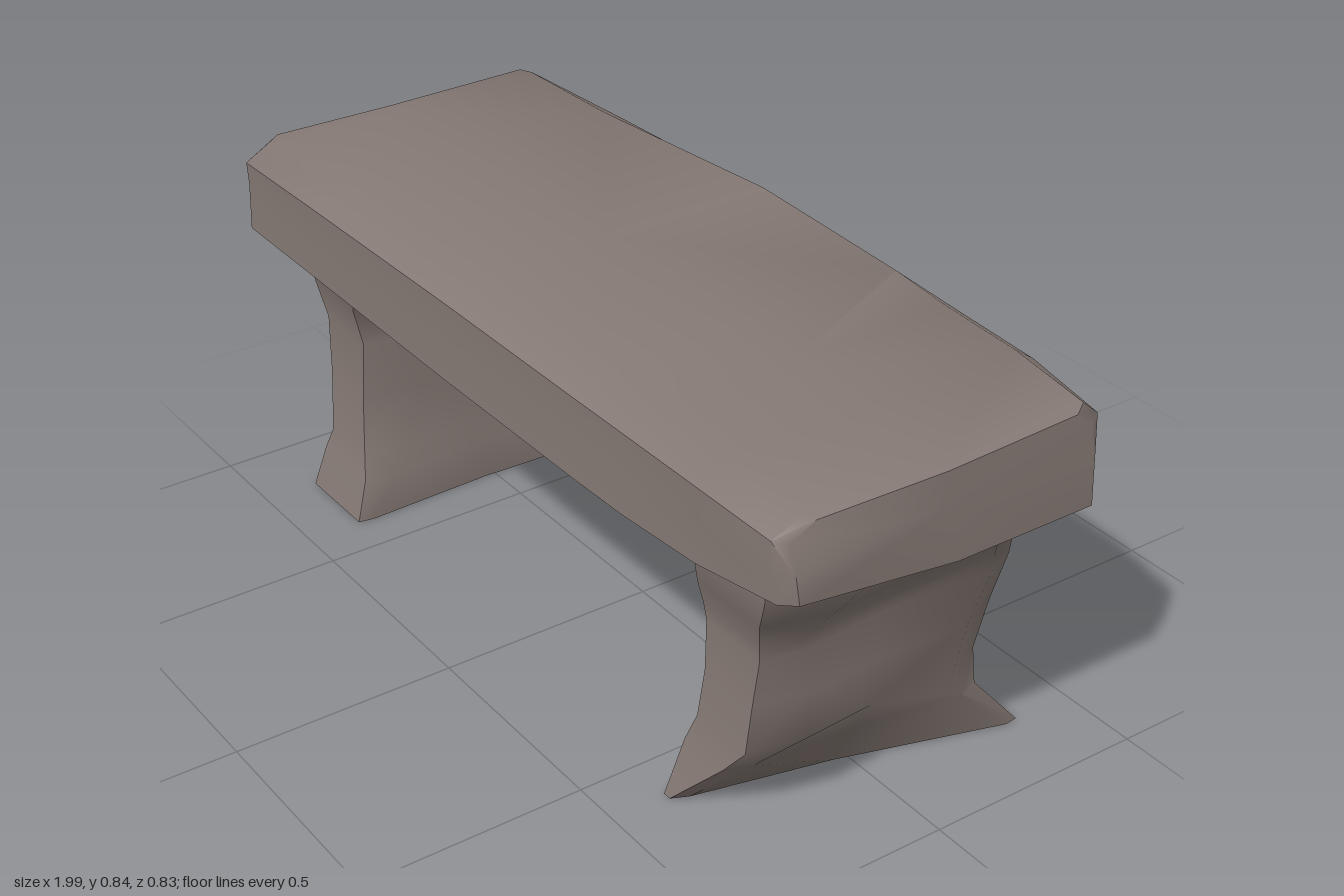
import * as THREE from 'three';
import { toCreasedNormals } from 'three/addons/utils/BufferGeometryUtils.js';

// Skin a closed solid over a list of equal-length rings of [x, y, z] points
function loft(rings, crease) {
  const n = rings[0].length, pos = rings.flat(2), idx = [];
  for (let k = 0; k < rings.length - 1; k++) {
    for (let i = 0; i < n; i++) {
      const j = (i + 1) % n;
      const a = k * n + i, b = k * n + j, c = a + n, d = b + n;
      // alternate the diagonal so the stone looks roughly hewn
      if ((i + k) % 2) idx.push(a, b, d, a, d, c);
      else idx.push(a, b, c, b, d, c);
    }
  }
  // end caps fan out from the middle of each end ring
  [0, rings.length - 1].forEach((k) => {
    const mid = [0, 1, 2].map((c) => rings[k].reduce((s, p) => s + p[c], 0) / n);
    const m = pos.length / 3;
    pos.push(...mid);
    for (let i = 0; i < n; i++) {
      const p = k * n + i, q = k * n + ((i + 1) % n);
      if (k) idx.push(m, p, q); else idx.push(m, q, p);
    }
  });
  const g = new THREE.BufferGeometry();
  g.setAttribute('position', new THREE.Float32BufferAttribute(pos, 3));
  g.setIndex(idx);
  return toCreasedNormals(g, crease);
}

// Slab cross-section at one x: worn top edges, chipped lower edges
function slabRing([x, back, front, top, bevelB, bevelF, dip, lean, chipB, chipF]) {
  const bottom = 0.621;
  return [
    [x - lean, top - 0.035, back],
    [x - lean, top, back + bevelB],
    [x - lean, top - dip, 0.02],
    [x - lean, top - dip * 0.4, front - bevelF],
    [x - lean, top - 0.035, front],
    [x, 0.73, front - 0.003],
    [x, bottom + chipF, front - chipF * 0.3],
    [x, bottom, 0],
    [x, bottom + chipB, back + chipB * 0.3],
    [x, 0.73, back + 0.005],
  ];
}

// Leg cross-section at one height: a block with uneven cut corners;
// skew draws the front outer corner in towards the inside
function legRing([y, x0, x1, back, front, cut, skew = 0]) {
  const w = (x1 - x0) * cut, d = (front - back) * cut;
  const pull = (z) => (skew * (z - back)) / (front - back);
  return [
    [x0 + w, y, front],
    [x1 - w * 0.6 - pull(front), y, front],
    [x1 - pull(front - d), y, front - d],
    [x1 - 0.012 - pull(0.03), y, 0.03],
    [x1 - pull(back + d * 0.8), y, back + d * 0.8],
    [x1 - w, y, back],
    [x0 + w * 0.7, y, back],
    [x0, y, back + d],
    [x0 + 0.012, y, -0.04],
    [x0, y, front - d * 0.9],
  ];
}

export function createModel() {
  const stone = new THREE.MeshStandardMaterial({ color: 0x857974 });
  stone.name = 'weathered stone';
  const bench = new THREE.Group();
  bench.name = 'stoneBench';

  function add(name, rings, crease) {
    const mesh = new THREE.Mesh(loft(rings, crease), stone);
    mesh.name = name;
    bench.add(mesh);
  }

  // seat: x, back, front, top, back bevel, front bevel, dip, lean, back chip, front chip
  add('seatSlab', [
    [-0.995, -0.39, 0.36, 0.815, 0.05, 0.05, 0.004, 0, 0.09, 0],
    [-0.96, -0.4, 0.41, 0.818, 0.05, 0.06, 0.003, 0, 0.08, 0],
    [-0.65, -0.408, 0.412, 0.826, 0.06, 0.08, 0, 0, 0.01, 0],
    [-0.1, -0.418, 0.416, 0.837, 0.03, 0.07, 0, 0, 0, 0],
    [0.36, -0.412, 0.414, 0.836, 0.04, 0.08, 0.004, 0, 0, 0],
    [0.52, -0.408, 0.411, 0.834, 0.05, 0.11, 0.012, 0, 0, 0],
    [0.74, -0.4, 0.408, 0.832, 0.05, 0.1, 0.016, 0, 0, 0.01],
    [0.965, -0.36, 0.405, 0.83, 0.04, 0.07, 0.015, 0.005, 0, 0.04],
    [0.998, -0.33, 0.38, 0.822, 0.04, 0.06, 0.012, 0.02, 0, 0.045],
  ].map(slabRing), 0.75);

  // legs: y, x0, x1, back, front, corner cut, skew
  add('rightLeg', [
    [0, -0.825, -0.6, -0.362, 0.372, 0.05],
    [0.1, -0.82, -0.6, -0.29, 0.345, 0.1],
    [0.15, -0.822, -0.615, -0.25, 0.33, 0.18],
    [0.3, -0.832, -0.62, -0.27, 0.32, 0.2],
    [0.43, -0.842, -0.628, -0.31, 0.31, 0.16],
    [0.52, -0.85, -0.632, -0.32, 0.33, 0.14],
    [0.55, -0.855, -0.6, -0.325, 0.34, 0.18],
    [0.61, -0.96, -0.59, -0.345, 0.365, 0.26],
    [0.65, -0.97, -0.59, -0.345, 0.365, 0.26],
  ].map(legRing), 0.9);

  add('leftLeg', [
    [0, 0.592, 0.83, -0.362, 0.372, 0.05, 0.2],
    [0.13, 0.597, 0.828, -0.25, 0.335, 0.1, 0.07],
    [0.2, 0.602, 0.828, -0.26, 0.325, 0.2],
    [0.31, 0.612, 0.832, -0.29, 0.315, 0.2],
    [0.42, 0.622, 0.836, -0.315, 0.31, 0.14],
    [0.46, 0.61, 0.845, -0.32, 0.315, 0.16],
    [0.52, 0.59, 0.885, -0.32, 0.335, 0.22],
    [0.61, 0.585, 0.955, -0.345, 0.365, 0.26],
    [0.65, 0.585, 0.96, -0.345, 0.365, 0.26],
  ].map(legRing), 0.9);

  return bench;
}
